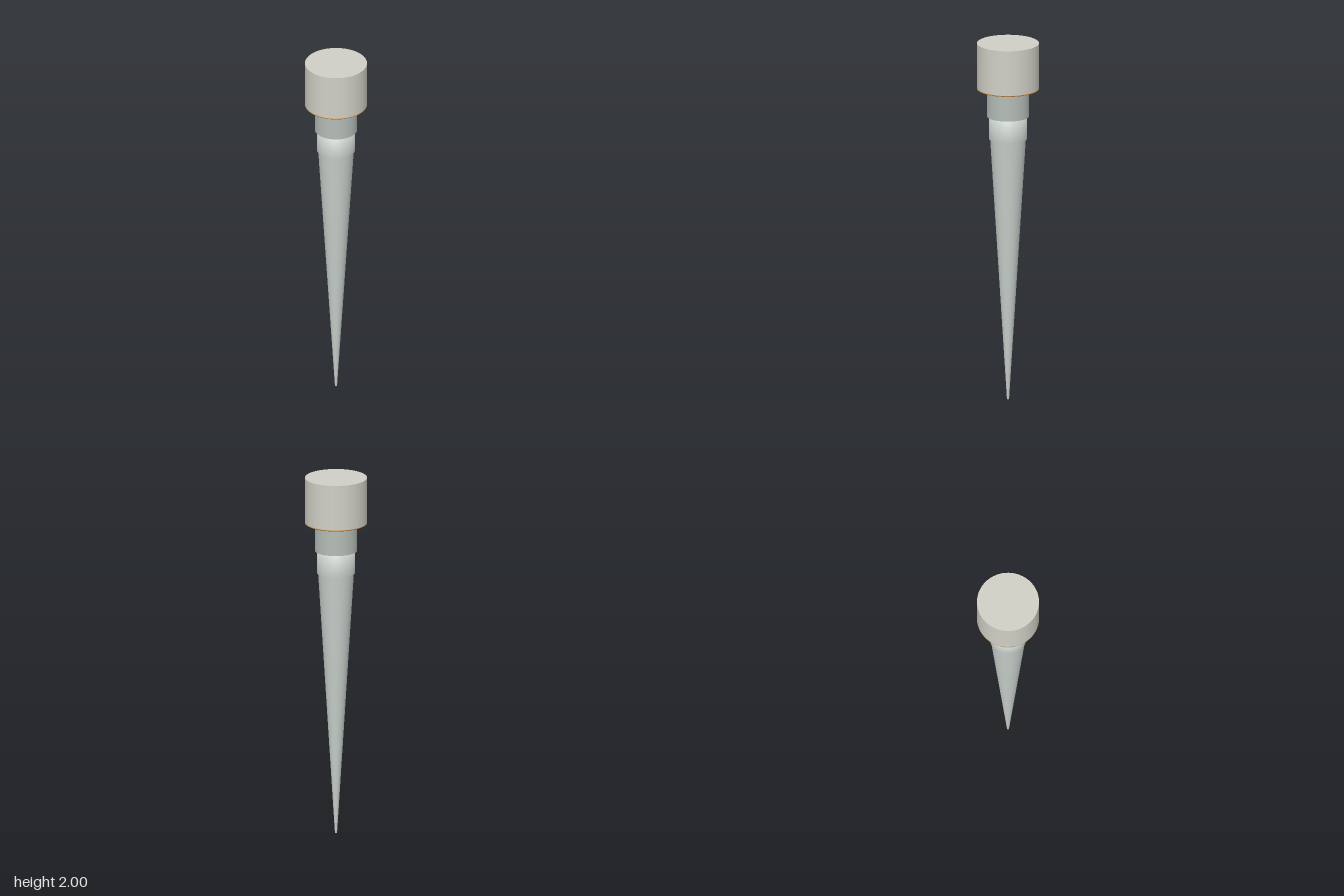
import * as THREE from 'three';

const SIDES = 64;

function addPart(group, name, geometry, color, y = 0) {
  const mesh = new THREE.Mesh(geometry, new THREE.MeshStandardMaterial({ color }));
  mesh.name = name;
  mesh.position.y = y;
  group.add(mesh);
  return mesh;
}

export function createModel() {
  const group = new THREE.Group();
  group.name = 'taperedSpike';

  // Long tapered spike with a softly shaded shoulder band at its top
  const profile = [
    [0, 0], [0.006, 0], [0.097, 1.465], [0.104, 1.465], [0.104, 1.59], [0, 1.59],
  ].map(([r, y]) => new THREE.Vector2(r, y));
  addPart(group, 'spike', new THREE.LatheGeometry(profile, SIDES), 0xc6cec9);

  // Collar between the shoulder and the cap
  addPart(group, 'collar', new THREE.CylinderGeometry(0.115, 0.115, 0.16, SIDES), 0xb4bcb7, 1.67);

  // Wide cylindrical cap
  addPart(group, 'cap', new THREE.CylinderGeometry(0.168, 0.168, 0.255, SIDES), 0xcfcfc6, 1.8725);

  // Thin coloured ring around the lower rim of the cap
  const ring = addPart(group, 'rimRing', new THREE.TorusGeometry(0.165, 0.004, 10, SIDES), 0xc8883c, 1.747);
  ring.rotation.x = Math.PI / 2;

  return group;
}
